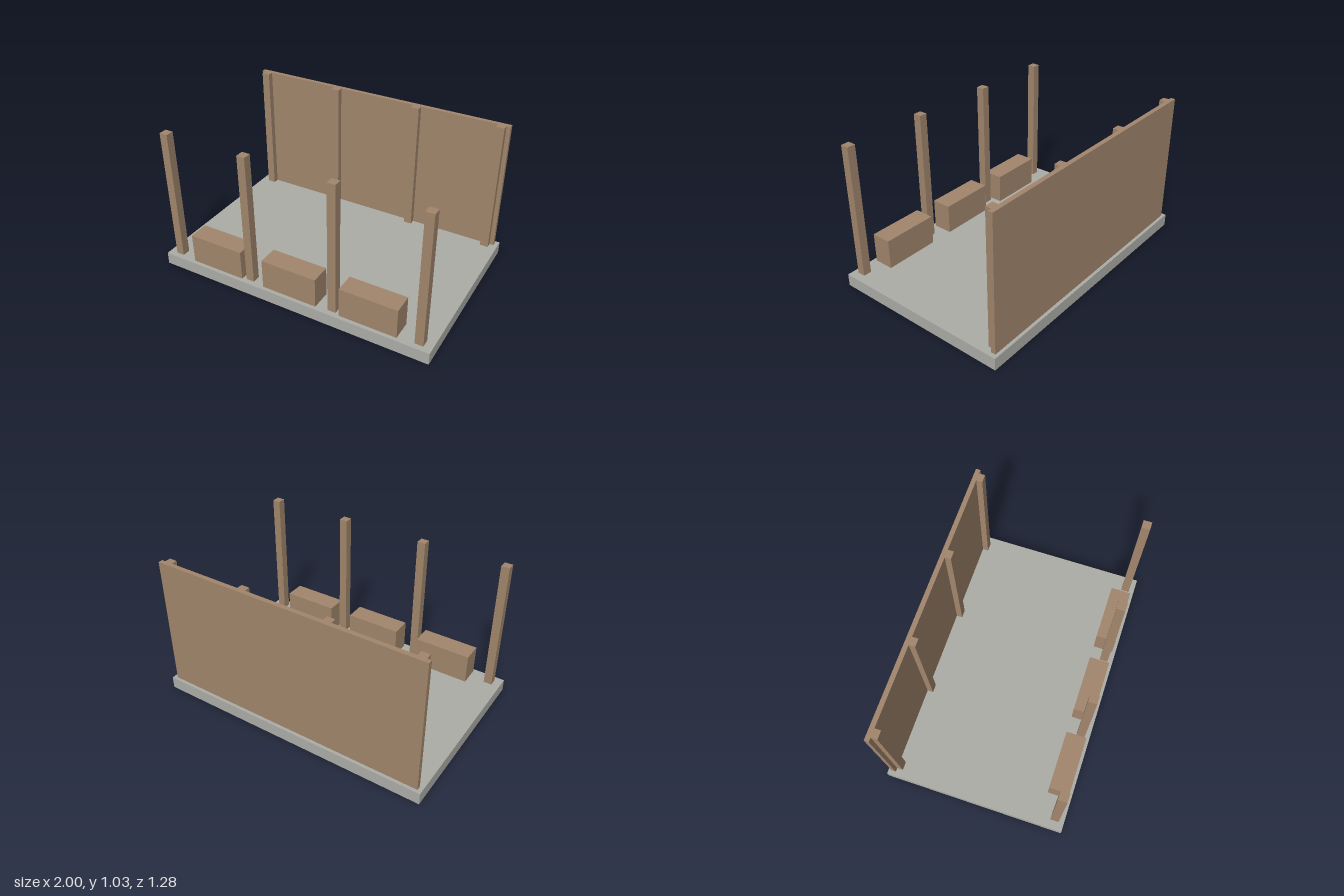
import * as THREE from 'three';

export function createModel() {
  const model = new THREE.Group();
  model.name = 'openShelter';

  const wood = new THREE.MeshStandardMaterial({ color: 0xa2866c });
  wood.name = 'wood';
  const concrete = new THREE.MeshStandardMaterial({ color: 0xadada8 });
  concrete.name = 'concrete';

  const FLOOR = 0.087; // top of the slab
  const TOP = 1.03; // top of posts and wall

  // Box resting between y0 and y1, and z0 and z1, centred on x
  function block(name, material, x, width, y0, y1, z0, z1) {
    const mesh = new THREE.Mesh(new THREE.BoxGeometry(width, y1 - y0, z1 - z0), material);
    mesh.position.set(x, (y0 + y1) / 2, (z0 + z1) / 2);
    mesh.name = name;
    model.add(mesh);
  }

  // Floor slab and back wall
  block('floorSlab', concrete, 0, 2, 0, FLOOR, -0.64, 0.64);
  block('backWall', wood, 0, 1.942, FLOOR, TOP, -0.618, -0.586);

  // Front posts stand free, back posts meet the wall
  for (const x of [-0.914, -0.313, 0.313, 0.914]) {
    block('frontPost', wood, x, 0.058, FLOOR, TOP, 0.544, 0.602);
    block('backPost', wood, x, 0.058, FLOOR, TOP, -0.586, -0.544);
  }

  // Low benches between the front posts
  for (const x of [-0.572, 0, 0.572]) {
    block('bench', wood, x, 0.402, FLOOR, 0.3, 0.472, 0.614);
  }

  return model;
}
